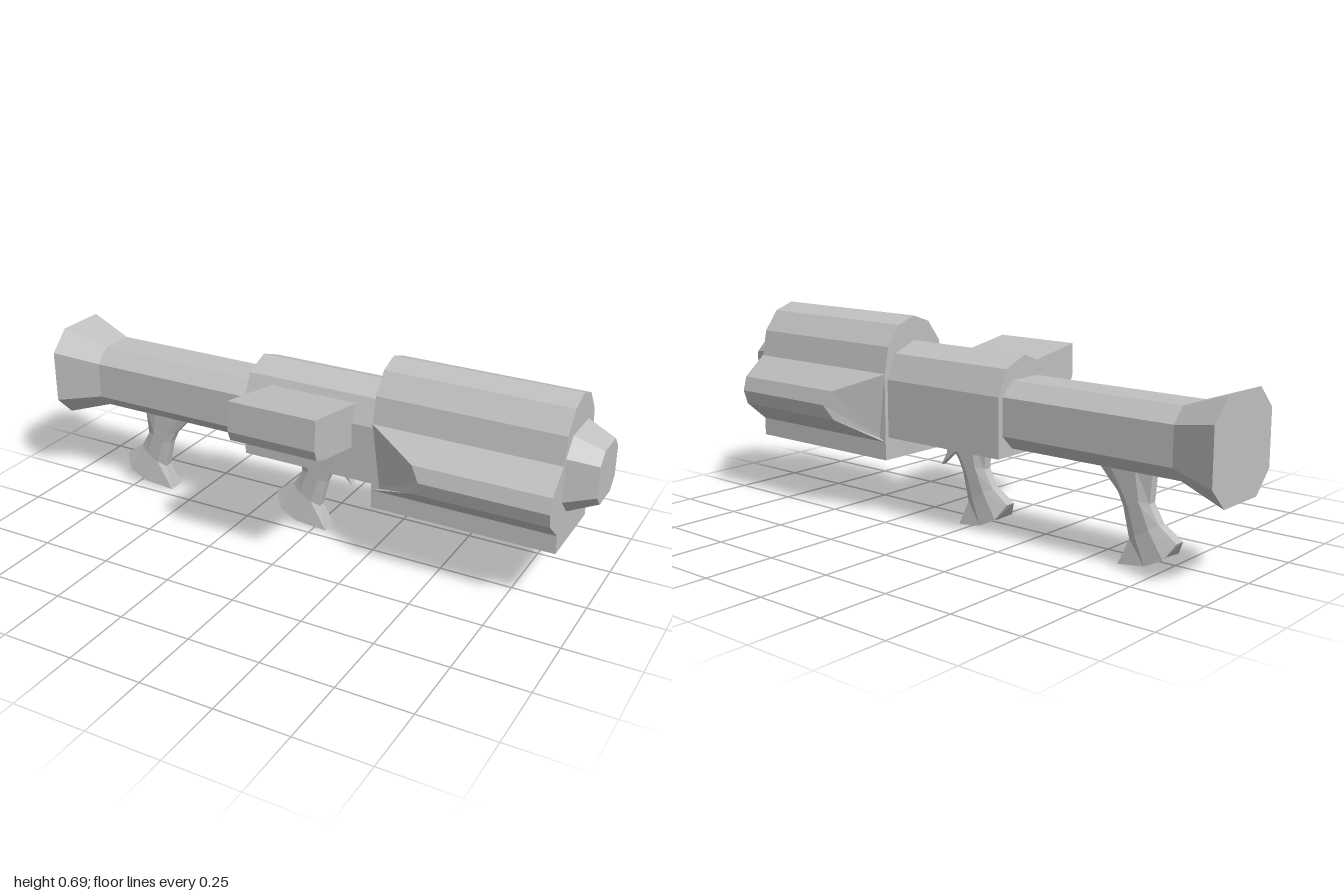
import * as THREE from 'three';

const CZ = -0.07; // long axis of the launcher lies on this z
const grey = new THREE.MeshStandardMaterial({ color: 0xc0c0c0 });
grey.name = 'grey';

// Closed flat-faced solid through loops of [x, y, z] points
function loft(name, loops) {
  const tris = [], n = loops[0].length, last = loops[loops.length - 1];
  for (let i = 0; i < loops.length - 1; i++) {
    for (let j = 0; j < n; j++) {
      const k = (j + 1) % n, a = loops[i], b = loops[i + 1];
      tris.push([a[j], a[k], b[k]], [a[j], b[k], b[j]]);
    }
  }
  for (let j = 1; j < n - 1; j++) {
    tris.push([loops[0][0], loops[0][j + 1], loops[0][j]], [last[0], last[j], last[j + 1]]);
  }
  // Turn the faces outward whichever way the loops run
  const V = (p) => new THREE.Vector3(...p);
  const volume = tris.reduce((s, [a, b, c]) => s + V(a).dot(V(b).cross(V(c))), 0);
  if (volume < 0) tris.forEach((t) => t.reverse());
  const geo = new THREE.BufferGeometry();
  geo.setAttribute('position', new THREE.Float32BufferAttribute(tris.flat(2), 3));
  geo.computeVertexNormals();
  const mesh = new THREE.Mesh(geo, grey);
  mesh.name = name;
  return mesh;
}

// Chamfered square across the axis: r = half size, f = half flat
const octagon = (x, cy, r, f) =>
  [[f, r], [r, f], [r, -f], [f, -r], [-f, -r], [-r, -f], [-r, f], [-f, r]]
    .map(([z, y]) => [x, cy + y, CZ + z]);

// Box with an elliptical arched top
function archProfile(half, bottom, cy, ry, steps) {
  const p = [[half, bottom]];
  for (let i = 0; i <= steps; i++) {
    const a = (Math.PI * i) / steps;
    p.push([half * Math.cos(a), cy + ry * Math.sin(a)]);
  }
  p.push([-half, bottom]);
  return p;
}
const prism = (name, profile, x0, x1) =>
  loft(name, [x0, x1].map((x) => profile.map(([z, y]) => [x, y, CZ + z])));

// Eight-sided grip section: four stations from rear to front with half widths
const gripLoop = (pts, widths, dx) => [
  ...pts.map(([x, y], i) => [x + dx, y, CZ + widths[i]]),
  ...pts.map(([x, y], i) => [x + dx, y, CZ - widths[i]]).reverse(),
];
const stations = ([bx, by], [fx, fy]) =>
  [0, 0.27, 0.73, 1].map((t) => [bx + (fx - bx) * t, by + (fy - by) * t]);

function grip(name, dx) {
  const neck = [0.015, 0.03, 0.03, 0.015];
  return loft(name, [
    gripLoop(stations([-0.715, 0.315], [-0.505, 0.315]), neck, dx),
    gripLoop(stations([-0.705, 0.205], [-0.59, 0.225]), neck, dx),
    gripLoop(stations([-0.71, 0.195], [-0.61, 0.185]), neck, dx),
    gripLoop(stations([-0.74, 0.145], [-0.635, 0.083]), neck, dx),
    // Curved foot
    gripLoop([[-0.805, 0.1], [-0.775, 0.05], [-0.71, 0.018], [-0.605, 0]],
      [0.018, 0.045, 0.045, 0.03], dx),
  ]);
}

// Side pod whose rear end is cut on a slant
function pod(name, side) {
  const p = [[0.13, 0.27], [0.145, 0.27], [0.224, 0.337], [0.24, 0.387],
    [0.226, 0.437], [0.145, 0.505], [0.13, 0.505]];
  const slant = (z) => 0.275 + Math.max(0, z - 0.145) * 2.16;
  return loft(name, [
    p.map(([z, y]) => [slant(z), y, CZ + side * z]),
    p.map(([z, y]) => [0.905, y, CZ + side * z]),
  ]);
}

export function createModel() {
  const group = new THREE.Group();
  group.name = 'launcher';

  // Rear tube with flared end
  group.add(loft('rearTube', [
    octagon(-1, 0.422, 0.163, 0.092),
    octagon(-0.84, 0.42, 0.111, 0.063),
    octagon(-0.2, 0.42, 0.111, 0.063),
  ]));

  // Receiver and front housing
  group.add(prism('receiver', archProfile(0.131, 0.285, 0.485, 0.12, 4), -0.212, 0.28));
  group.add(prism('frontHousing', archProfile(0.145, 0.207, 0.5, 0.19, 6), 0.275, 0.905));
  group.add(pod('leftPod', 1), pod('rightPod', -1));

  // Muzzle
  group.add(loft('muzzle', [
    octagon(0.9, 0.45, 0.13, 0.074),
    octagon(1, 0.45, 0.09, 0.052),
  ]));

  // Sight box reaching out of the receiver's side
  const sight = [[0.02, 0.543], [0.307, 0.59], [0.31, 0.485], [0.296, 0.45],
    [0.245, 0.432], [0.02, 0.392]];
  group.add(loft('sightBox', [-0.122, 0.193].map((x) => sight.map(([z, y]) => [x, y, z]))));

  // Grips and trigger
  group.add(grip('rearGrip', 0), grip('frontGrip', 0.65));
  const trigger = [[0.07, 0.29], [0.085, 0.24], [0.14, 0.19], [0.115, 0.235], [0.11, 0.29]];
  group.add(loft('trigger', [-0.012, 0.012].map((z) => trigger.map(([x, y]) => [x, y, CZ + z]))));

  return group;
}
